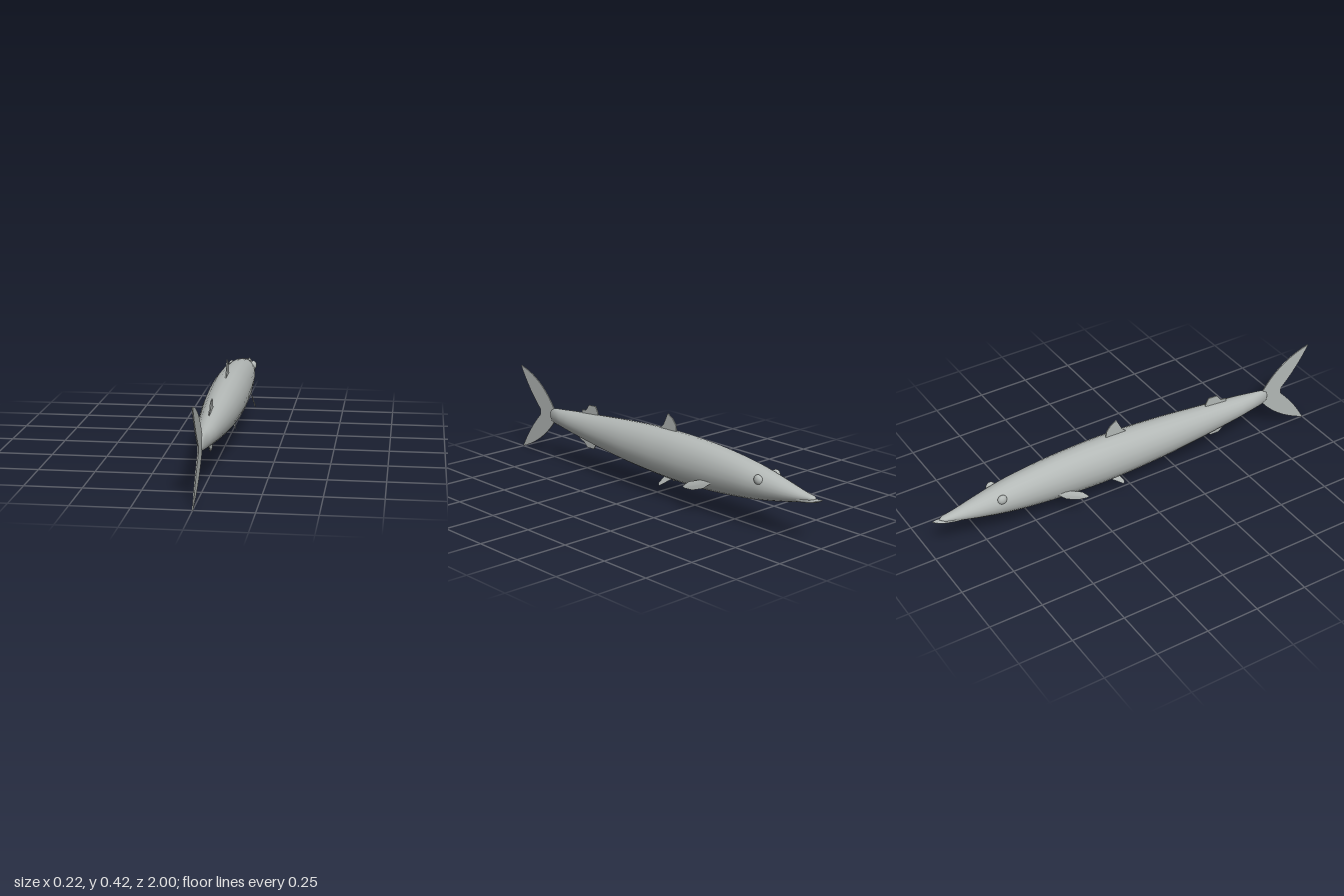
import * as THREE from 'three';

const skin = new THREE.MeshStandardMaterial({ color: 0xb4b9b7 });
skin.name = 'silver grey skin';
const finSkin = new THREE.MeshStandardMaterial({ color: 0xb4b9b7, side: THREE.DoubleSide });
finSkin.name = 'silver grey fin';

// Smooth tube of elliptical rings from profile rows [z, bottom, top, halfWidth], tail to head
function loft(rows, steps, sides, name) {
  const mids = new THREE.CatmullRomCurve3(rows.map(r => new THREE.Vector3(r[0], r[1], r[2])), false, 'centripetal');
  const wide = (z) => {
    let i = 0;
    while (i < rows.length - 2 && rows[i + 1][0] > z) i++;
    const a = rows[i], b = rows[i + 1];
    const t = THREE.MathUtils.clamp((a[0] - z) / (a[0] - b[0]), 0, 1);
    return a[3] + (b[3] - a[3]) * t;
  };
  const pos = [], index = [];
  for (let i = 0; i <= steps; i++) {
    const p = mids.getPoint(i / steps);
    const cy = (p.y + p.z) / 2, ry = (p.z - p.y) / 2, rx = wide(p.x);
    for (let j = 0; j < sides; j++) {
      const a = j / sides * Math.PI * 2;
      pos.push(rx * Math.cos(a), cy + ry * Math.sin(a), p.x);
      if (i < steps) {
        const k = (j + 1) % sides, r = i * sides, s = r + sides;
        index.push(r + j, s + j, r + k, r + k, s + j, s + k);
      }
    }
  }
  const g = new THREE.BufferGeometry();
  g.setAttribute('position', new THREE.Float32BufferAttribute(pos, 3));
  g.setIndex(index);
  g.computeVertexNormals();
  const m = new THREE.Mesh(g, skin);
  m.name = name;
  return m;
}

// Thin upright fin on the midline; the shape is drawn in (z, y)
function midFin(shape, name) {
  const depth = 0.005;
  const g = new THREE.ExtrudeGeometry(shape, { depth, bevelEnabled: false, curveSegments: 10 });
  g.rotateY(-Math.PI / 2).translate(depth / 2, 0, 0);
  const m = new THREE.Mesh(g, finSkin);
  m.name = name;
  return m;
}
const outline = (pts) => new THREE.Shape(pts.map(p => new THREE.Vector2(p[0], p[1])));

// Flat side fin as a fan of corners, mirrored by side
function sideFin(pts, side, name) {
  const g = new THREE.BufferGeometry();
  g.setAttribute('position', new THREE.Float32BufferAttribute(pts.flatMap(p => [p[0] * side, p[1], p[2]]), 3));
  const index = [];
  for (let i = 1; i < pts.length - 1; i++) index.push(0, i, i + 1);
  g.setIndex(index);
  g.computeVertexNormals();
  const m = new THREE.Mesh(g, finSkin);
  m.name = name;
  return m;
}

export function createModel() {
  const fish = new THREE.Group();
  fish.name = 'fish';

  // Body with upper jaw
  fish.add(loft([
    [0.772, 0.208, 0.212, 0.001], [0.765, 0.185, 0.234, 0.01], [0.74, 0.174, 0.248, 0.018],
    [0.68, 0.168, 0.255, 0.034], [0.6, 0.157, 0.264, 0.047], [0.4, 0.131, 0.283, 0.064],
    [0.2, 0.11, 0.301, 0.079], [0, 0.097, 0.313, 0.087], [-0.18, 0.092, 0.317, 0.089],
    [-0.4, 0.1, 0.308, 0.083], [-0.6, 0.12, 0.286, 0.073], [-0.7, 0.136, 0.268, 0.062],
    [-0.8, 0.156, 0.246, 0.046], [-0.9, 0.18, 0.224, 0.026], [-0.945, 0.195, 0.217, 0.018],
    [-0.965, 0.206, 0.21, 0.003],
  ], 64, 20, 'body'));

  // Protruding lower jaw
  fish.add(loft([
    [-0.86, 0.173, 0.205, 0.028], [-0.9, 0.178, 0.205, 0.026], [-0.95, 0.188, 0.205, 0.019],
    [-0.98, 0.198, 0.209, 0.012], [-1, 0.209, 0.211, 0.001],
  ], 12, 20, 'lowerJaw'));

  // Forked tail
  const tail = new THREE.Shape();
  tail.moveTo(0.745, 0.245);
  tail.quadraticCurveTo(0.84, 0.385, 1, 0.42);
  tail.quadraticCurveTo(0.94, 0.31, 0.853, 0.225);
  tail.lineTo(0.853, 0.195);
  tail.quadraticCurveTo(0.94, 0.11, 1, 0);
  tail.quadraticCurveTo(0.84, 0.06, 0.745, 0.178);
  fish.add(midFin(tail, 'tailFin'));

  // Midline fins
  fish.add(midFin(outline([[-0.02, 0.3], [-0.025, 0.316], [-0.045, 0.335], [-0.072, 0.39],
    [-0.105, 0.37], [-0.125, 0.345], [-0.13, 0.3]]), 'frontDorsalFin'));
  fish.add(midFin(outline([[0.53, 0.26], [0.53, 0.285], [0.5, 0.289], [0.478, 0.318],
    [0.43, 0.321], [0.415, 0.295], [0.41, 0.27]]), 'rearDorsalFin'));
  fish.add(midFin(outline([[0.56, 0.16], [0.55, 0.14], [0.515, 0.125], [0.495, 0.106],
    [0.448, 0.106], [0.43, 0.13], [0.425, 0.145]]), 'analFin'));

  // Paired fins and eyes
  for (const side of [1, -1]) {
    const label = side > 0 ? 'left' : 'right';
    fish.add(sideFin([[0.07, 0.166, -0.43], [0.08, 0.163, -0.36], [0.097, 0.147, -0.31],
      [0.111, 0.123, -0.285], [0.11, 0.116, -0.295], [0.098, 0.114, -0.335],
      [0.084, 0.13, -0.385]], side, label + 'PectoralFin'));
    fish.add(sideFin([[0.022, 0.105, -0.135], [0.022, 0.102, -0.075], [0.043, 0.066, -0.055],
      [0.046, 0.055, -0.062]], side, label + 'PelvicFin'));
    const eye = new THREE.Mesh(new THREE.SphereGeometry(0.022, 16, 12), skin);
    eye.name = label + 'Eye';
    eye.scale.x = 0.7;
    eye.position.set(side * 0.055, 0.237, -0.687);
    fish.add(eye);
  }
  return fish;
}
